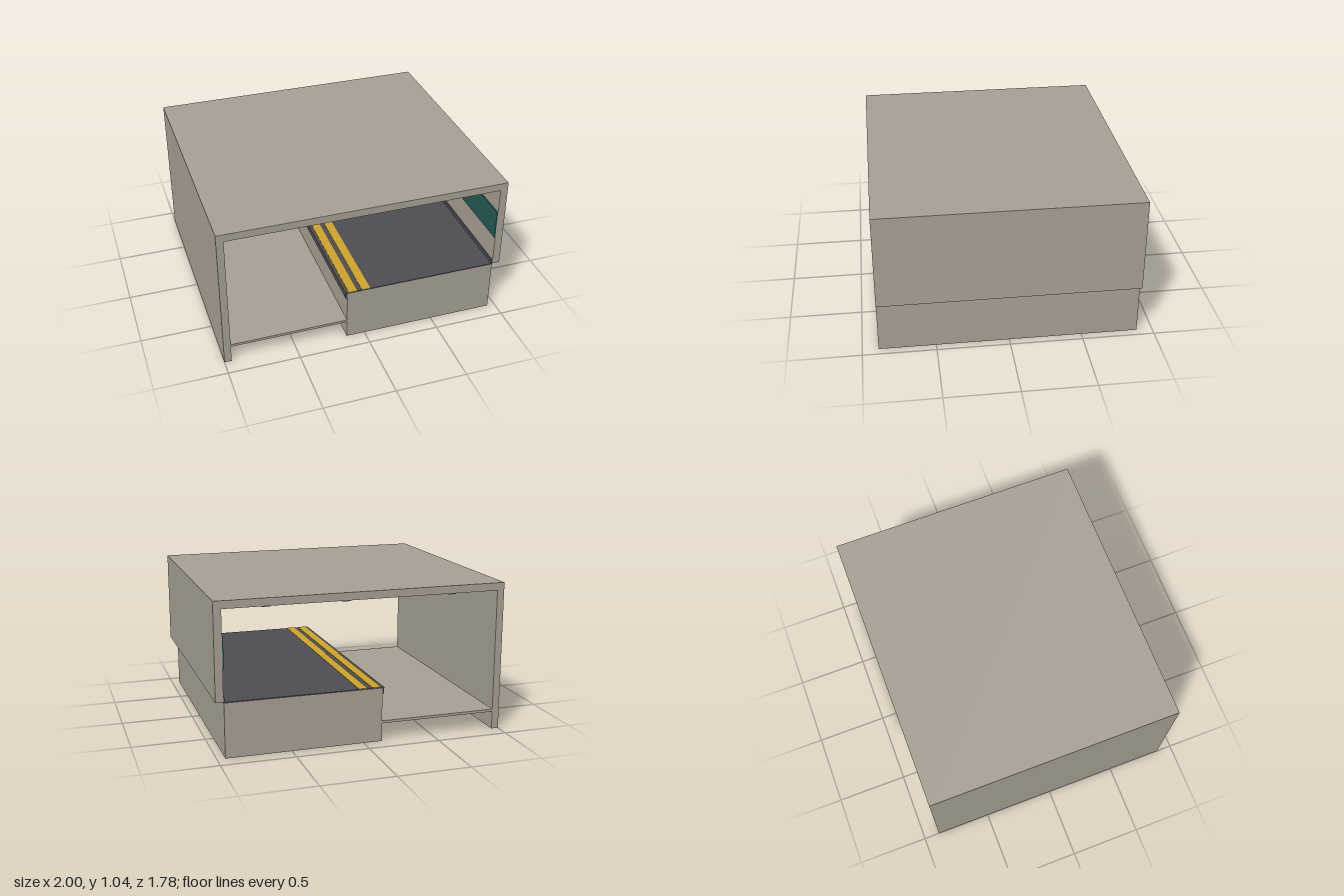
import * as THREE from 'three';

const mat = (name, color) => {
  const m = new THREE.MeshStandardMaterial({ color });
  m.name = name;
  return m;
};

export function createModel() {
  const concrete = mat('concrete', 0xa69f92);
  const paving = mat('dark paving', 0x4e4d52);
  const yellow = mat('safety yellow', 0xcca32a);
  const teal = mat('teal tile', 0x245a54);

  const group = new THREE.Group();
  group.name = 'stationHall';
  const D = 0.89; // half depth of the hall

  // Box given by its limits on each axis
  const box = (name, material, x0, x1, y0, y1, z0 = -D, z1 = D) => {
    const mesh = new THREE.Mesh(new THREE.BoxGeometry(x1 - x0, y1 - y0, z1 - z0), material);
    mesh.position.set((x0 + x1) / 2, (y0 + y1) / 2, (z0 + z1) / 2);
    mesh.name = name;
    group.add(mesh);
  };

  // Shell: walls and roof as one continuous section, open at both ends
  const section = new THREE.Shape([
    [-1, 0], [-0.95, 0], [-0.95, 0.985], [0.947, 0.985],
    [0.947, 0.38], [1, 0.38], [1, 1.038], [-1, 1.038],
  ].map(([x, y]) => new THREE.Vector2(x, y)));
  const shellGeometry = new THREE.ExtrudeGeometry(section, { depth: 2 * D, bevelEnabled: false });
  shellGeometry.translate(0, 0, -D);
  const shell = new THREE.Mesh(shellGeometry, concrete);
  shell.name = 'wallsAndRoof';
  group.add(shell);

  // Track bed and platform
  box('trackBed', concrete, -0.95, -0.13, 0.125, 0.143);
  box('platform', concrete, -0.13, 0.945, 0, 0.371);
  box('platformPaving', paving, -0.13, 0.947, 0.371, 0.379);
  box('platformLip', paving, -0.142, -0.13, 0.335, 0.379);

  // Warning stripes along the platform edge
  for (const x of [-0.12, -0.025]) {
    box('warningStripe', yellow, x, x + 0.06, 0.379, 0.382);
  }

  // Wall finishes above the platform
  box('baseboard', paving, 0.939, 0.947, 0.379, 0.408);
  box('tileBand', teal, 0.94, 0.947, 0.6, 0.81);

  // Ceiling ribs running across the hall
  for (let i = -2; i <= 2; i++) {
    const z = i * 0.36;
    box('ceilingRib', paving, -0.95, 0.947, 0.976, 0.985, z - 0.009, z + 0.009);
  }

  // Long light fittings under the ribs
  for (const x of [-0.635, 0.115, 0.65]) {
    box('lightFitting', concrete, x - 0.028, x + 0.028, 0.971, 0.985, -0.85, 0.85);
  }

  return group;
}
